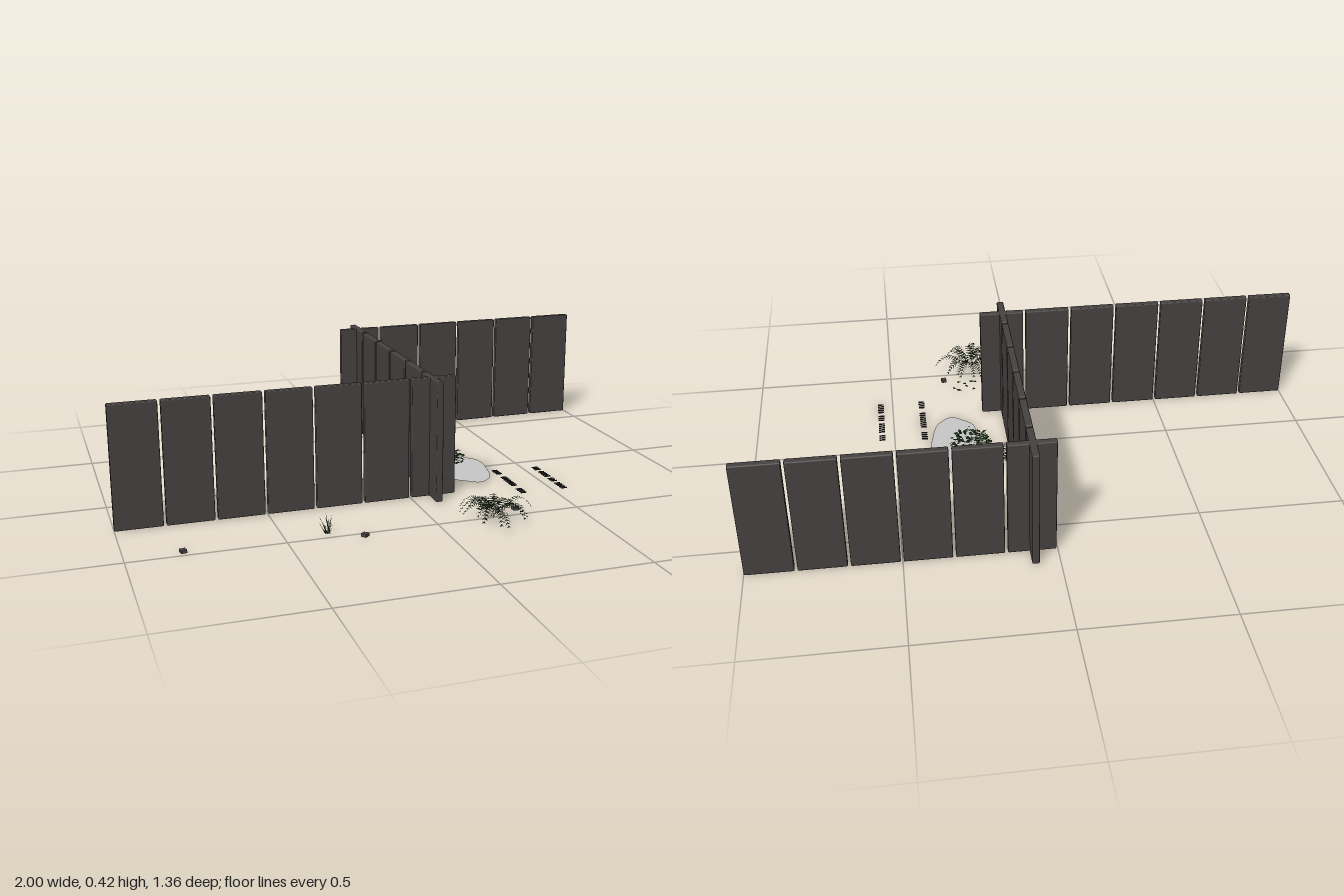
import * as THREE from 'three';
import { RoundedBoxGeometry } from 'three/addons/geometries/RoundedBoxGeometry.js';

const mat = (name, color, side = THREE.FrontSide) => {
  const m = new THREE.MeshStandardMaterial({ color, side });
  m.name = name;
  return m;
};

// Small seeded random generator
function seeded(seed) {
  return () => (seed = (seed * 16807) % 2147483647) / 2147483647;
}

// Thin foliage from a flat list of triangle corners
function foliage(name, tris, material) {
  const g = new THREE.BufferGeometry();
  g.setAttribute('position', new THREE.Float32BufferAttribute(tris.flatMap(v => v.toArray()), 3));
  g.computeVertexNormals();
  const m = new THREE.Mesh(g, material);
  m.name = name;
  return m;
}

// One arching frond: tapered stem with paired leaflets
function addFrond(tris, root, yaw, length, rise, width, pairs) {
  const dir = new THREE.Vector3(Math.cos(yaw), 0, Math.sin(yaw));
  const side = new THREE.Vector3(-dir.z, 0, dir.x);
  const at = t => root.clone().addScaledVector(dir, length * t)
    .add(new THREE.Vector3(0, rise * (Math.sin(Math.PI * Math.min(1, t * 0.95)) * 0.9 + 0.1), 0));
  const step = 1 / pairs;
  for (let i = 0; i < pairs; i++) {
    const t = i * step, a = at(t), b = at(t + step * 0.45), c = at(t + step);
    tris.push(a.clone().addScaledVector(side, 0.0008), a.clone().addScaledVector(side, -0.0008), c);
    if (t < 0.2) continue;
    const w = width * Math.sin(Math.PI * (0.2 + 0.75 * t));
    for (const s of [-1, 1]) {
      const tip = b.clone().addScaledVector(side, s * w).addScaledVector(dir, w * 0.6);
      tip.y -= w * 0.25;
      tris.push(a, b, tip);
    }
  }
}

function fern(name, x, z, count, radius, height, material, rand) {
  const tris = [];
  for (let i = 0; i < count; i++) {
    const yaw = (i + rand() * 0.7) / count * Math.PI * 2;
    const root = new THREE.Vector3(x + (rand() - 0.5) * 0.04, 0.012, z + (rand() - 0.5) * 0.04);
    addFrond(tris, root, yaw, radius * (0.65 + rand() * 0.35), height * (0.7 + rand() * 0.3), 0.021, 15);
  }
  return foliage(name, tris, material);
}

export function createModel() {
  const model = new THREE.Group();
  const wallMat = mat('dark wall', 0x464241);
  const stoneMat = mat('stone', 0x4a4645);
  const puddleMat = mat('puddle grey', 0xc8c8c8, THREE.DoubleSide);
  const markMat = mat('ground mark', 0x2c2a2a);
  const fernMat = mat('fern green', 0x2f4429, THREE.DoubleSide);
  const bushMat = mat('bush green', 0x1f3b1c, THREE.DoubleSide);
  const rand = seeded(4127);

  // Zigzag wall of upright slabs
  const slab = new RoundedBoxGeometry(0.158, 0.42, 0.024, 1, 0.004);
  const wall = (name, count, place, turn) => {
    const group = new THREE.Group();
    group.name = name;
    for (let i = 0; i < count; i++) {
      const m = new THREE.Mesh(slab, wallMat);
      m.name = 'slab';
      const [x, z] = place(0.079 + i * 0.1675);
      m.position.set(x, 0.21, z);
      m.rotation.y = turn;
      group.add(m);
    }
    model.add(group);
  };
  wall('frontWall', 7, d => [-1 + d, 0.225], 0);
  wall('middleWall', 6, d => [0.08, -0.688 + d], Math.PI / 2);
  wall('backWall', 6, d => [0.004 + d, -0.61], 0);

  // Puddle
  const outline = [[0.26, -0.2], [0.3, -0.185], [0.32, -0.15], [0.34, -0.1], [0.37, -0.06], [0.372, 0],
    [0.362, 0.055], [0.35, 0.11], [0.33, 0.15], [0.285, 0.183], [0.245, 0.16], [0.205, 0.12],
    [0.2, 0.05], [0.185, -0.05], [0.195, -0.13], [0.225, -0.18]];
  const shape = new THREE.Shape();
  const curve = new THREE.SplineCurve([...outline, outline[0]].map(([x, z]) => new THREE.Vector2(x, -z)));
  shape.setFromPoints(curve.getPoints(48));
  const puddle = new THREE.Mesh(new THREE.ShapeGeometry(shape), puddleMat);
  puddle.name = 'puddle';
  puddle.rotation.x = -Math.PI / 2;
  puddle.position.y = 0.008;
  model.add(puddle);

  // Two rows of short ground dashes
  const dash = new THREE.BoxGeometry(0.022, 0.003, 0.005);
  for (const [x, z0, gaps] of [[0.39, 0.062, [4, 5]], [0.545, 0.075, [3, 9]]]) {
    const row = new THREE.Group();
    row.name = 'dashRow';
    for (let i = 0; i < 20; i++) {
      if (gaps.includes(i % 10)) continue;
      const m = new THREE.Mesh(dash, markMat);
      m.name = 'dash';
      m.position.set(x, 0.0015, z0 + i * 0.0132);
      row.add(m);
    }
    model.add(row);
  }

  // Loose stones
  for (const [x, z, turn] of [[-0.82, 0.475, 0.2], [-0.255, 0.525, 0.7], [0.293, 0.455, 0.1]]) {
    const m = new THREE.Mesh(new THREE.BoxGeometry(0.019, 0.011, 0.019), stoneMat);
    m.name = 'stone';
    m.position.set(x, 0.0055, z);
    m.rotation.y = turn;
    model.add(m);
  }

  // Ferns
  model.add(fern('frontFern', 0.18, 0.53, 19, 0.135, 0.068, fernMat, rand));
  model.add(fern('wallFern', 0.15, -0.14, 11, 0.085, 0.06, fernMat, rand));

  // Leafy bush beside the puddle
  const leaves = [];
  for (let i = 0; i < 130; i++) {
    const a = rand() * Math.PI * 2, r = Math.sqrt(rand());
    const c = new THREE.Vector3(0.225 + Math.cos(a) * r * 0.075,
      0.025 + rand() * 0.055 * (1 - r * 0.5), -0.045 + Math.sin(a) * r * 0.095);
    const yaw = rand() * Math.PI * 2;
    const u = new THREE.Vector3(Math.cos(yaw), rand() - 0.5, Math.sin(yaw)).multiplyScalar(0.01);
    const v = new THREE.Vector3(-Math.sin(yaw), rand() - 0.5, Math.cos(yaw)).multiplyScalar(0.006);
    const [p, q, s, t] = [c.clone().add(u), c.clone().add(v), c.clone().sub(u), c.clone().sub(v)];
    leaves.push(p, t, q, q, t, s);
  }
  for (let i = 0; i < 12; i++) {
    const a = i / 12 * Math.PI * 2;
    const foot = new THREE.Vector3(0.225, 0.008, -0.045);
    leaves.push(foot, foot.clone().add(new THREE.Vector3(0.002, 0, 0.002)),
      new THREE.Vector3(0.225 + Math.cos(a) * 0.055, 0.06, -0.045 + Math.sin(a) * 0.07));
  }
  model.add(foliage('bush', leaves, bushMat));

  // Grass tuft
  const blades = [];
  for (let i = 0; i < 16; i++) {
    const a = rand() * Math.PI * 2, lean = 0.01 + rand() * 0.025;
    const foot = new THREE.Vector3(-0.36 + (rand() - 0.5) * 0.02, 0, 0.462 + (rand() - 0.5) * 0.015);
    const across = new THREE.Vector3(-Math.sin(a), 0, Math.cos(a)).multiplyScalar(0.0022);
    blades.push(foot.clone().add(across), foot.clone().sub(across),
      foot.clone().add(new THREE.Vector3(Math.cos(a) * lean, 0.03 + rand() * 0.035, Math.sin(a) * lean)));
  }
  model.add(foliage('grassTuft', blades, fernMat));

  // Fallen leaves in front of the wall corner
  const scraps = [];
  for (let i = 0; i < 10; i++) {
    const c = new THREE.Vector3(0.165 + rand() * 0.1, 0.008, 0.365 + rand() * 0.07), a = rand() * 6.28;
    for (const k of [0, 2.3, 4]) {
      scraps.push(c.clone().add(new THREE.Vector3(Math.cos(a + k) * 0.009, 0, Math.sin(a + k) * 0.009)));
    }
  }
  model.add(foliage('fallenLeaves', scraps, bushMat));

  return model;
}
